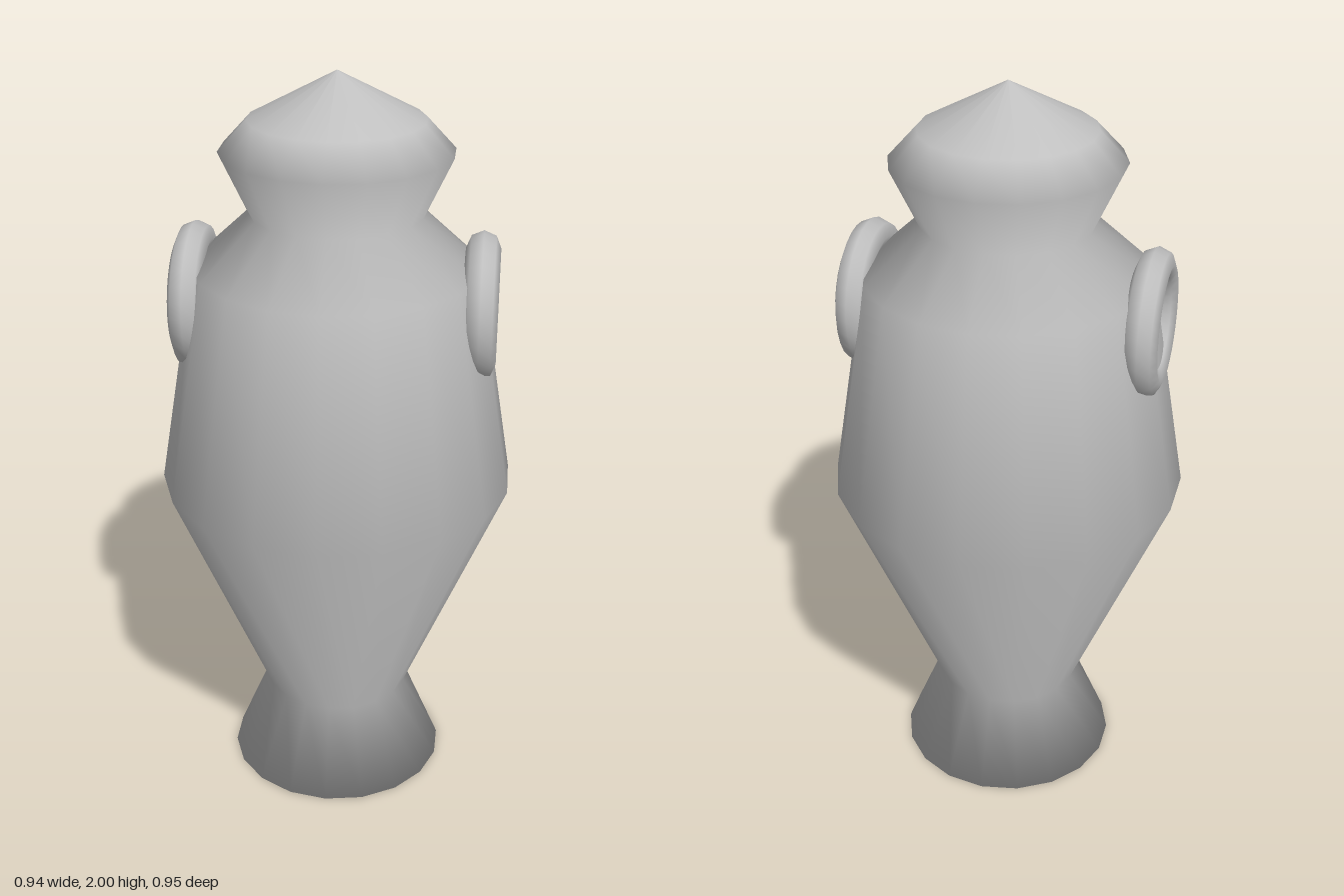
import * as THREE from 'three';

export function createModel() {
  const group = new THREE.Group();
  const clay = new THREE.MeshStandardMaterial({ color: 0xbfbfbf });
  clay.name = 'grey clay';

  // Turned vase: closed base, flared foot, belly, shoulder, neck and pointed lid
  const profile = [
    [0, 0], [0.3, 0], [0.2, 0.24], [0.475, 0.9], [0.375, 1.5],
    [0.225, 1.64], [0.3, 1.8], [0.226, 1.88], [0, 2],
  ].map(([r, y]) => new THREE.Vector2(r, y));
  const vase = new THREE.Mesh(new THREE.LatheGeometry(profile, 18), clay);
  vase.name = 'vaseBody';
  group.add(vase);

  // Ring handles sunk into the shoulder on both sides
  const ring = new THREE.TorusGeometry(0.15, 0.045, 8, 28).rotateY(Math.PI / 2);
  for (const side of [1, -1]) {
    const handle = new THREE.Mesh(ring, clay);
    handle.name = side > 0 ? 'leftHandle' : 'rightHandle';
    handle.position.set(side * 0.375, 1.4, 0);
    group.add(handle);
  }
  return group;
}
